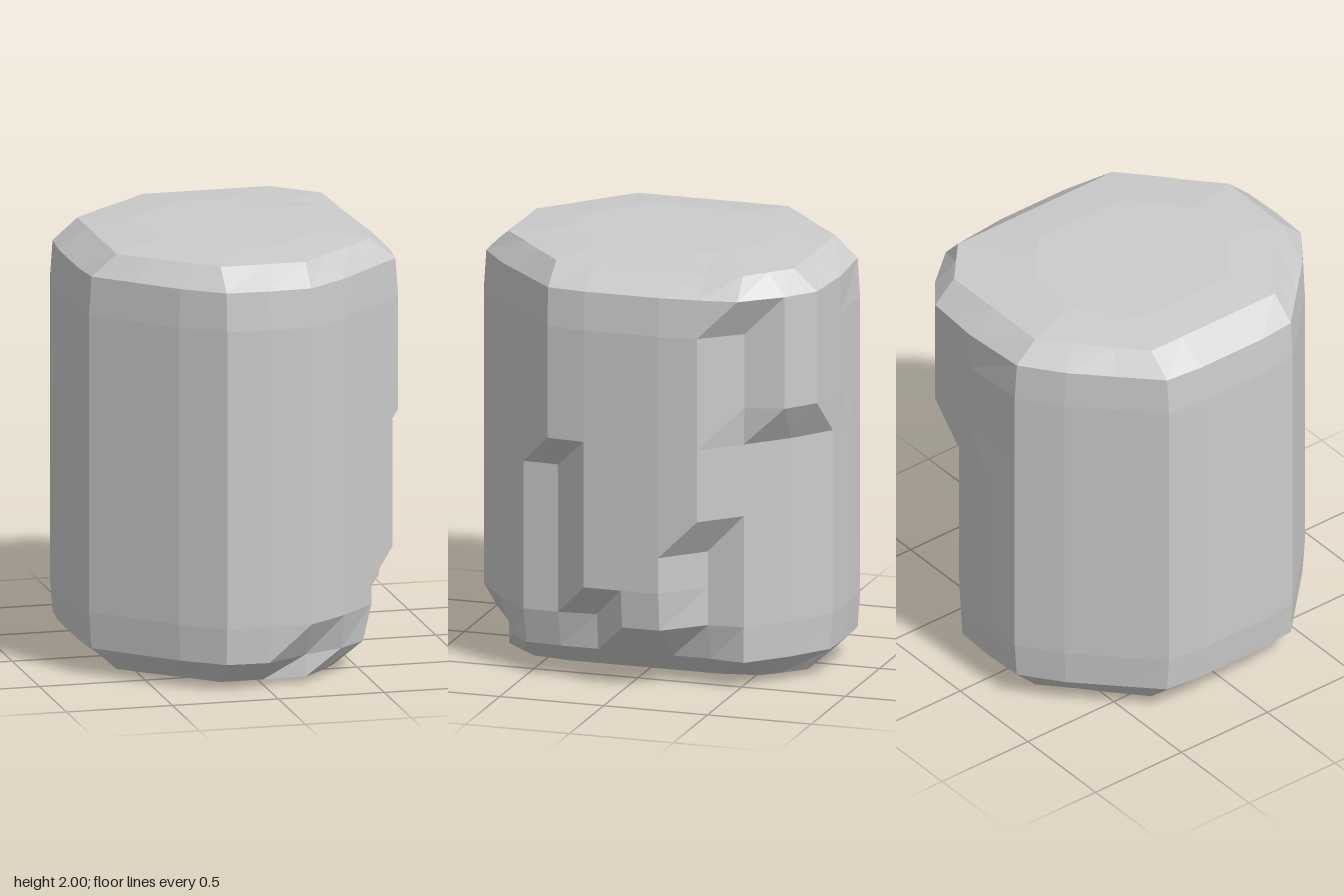
import * as THREE from 'three';

// Quarter outlines from the front (+z) round to the side (+x)
const OUTER = [[0, .85], [.2, .84], [.39, .7], [.56, .53], [.73, .36], [.75, .18], [.75, 0]];
const INNER = [[0, .72], [.2, .72], [.33, .6], [.47, .48], [.6, .36], [.6, .18], [.6, 0]];

// Mirror a quarter outline into a closed ring of 24 points
function fullRing(q) {
  const half = [...q, ...q.slice(0, 6).reverse().map(([x, z]) => [x, -z])];
  return [...half, ...half.slice(1, 12).reverse().map(([x, z]) => [-x, z])];
}

// Row heights with the blend from the outer (0) to the inner (1) outline
const ROWS = [[0, 1, .65], [.025, 1], [.13, .1], [.3, 0], [.48, 0], [.65, 0], [.83, 0], [1, 0],
  [1.17, 0], [1.35, 0], [1.53, 0], [1.7, 0], [1.88, .1], [1.98, 1], [2, 1, .65]];

function buildRings() {
  const outer = fullRing(OUTER), inner = fullRing(INNER);
  const rings = ROWS.map(([y, t, s = 1]) => outer.map(([x, z], i) => [
    (x + (inner[i][0] - x) * t) * s, y, (z + (inner[i][1] - z) * t) * s]));
  const put = (r0, r1, col, x, z) => {
    for (let r = r0; r <= r1; r++) { rings[r][col][0] = x; rings[r][col][2] = z; }
  };

  // Lower side undercut
  [.36, .18, 0, -.18, -.36].forEach((z, k) => {
    put(2, 2, 4 + k, .53, z);
    put(1, 1, 4 + k, .4, z);
    put(0, 0, 4 + k, .28, z * .65);
  });
  put(2, 2, 1, .2, .72);
  put(2, 2, 2, .39, .64);
  put(2, 2, 3, .52, .53);
  put(1, 1, 3, .37, .54);
  put(1, 1, 2, .3, .62);
  put(1, 1, 9, .37, -.54);
  put(1, 1, 10, .3, -.62);

  // Front side notch
  put(3, 7, 4, .57, .36);
  put(3, 3, 5, .55, .18);
  put(3, 3, 6, .73, 0);
  put(3, 3, 7, .73, -.18);

  // Back side notch
  put(3, 5, 8, .57, -.36);

  // Upper back corner bulge
  put(9, 11, 9, .58, -.54);
  put(9, 12, 10, .54, -.72);
  put(9, 12, 11, .4, -.83);
  put(9, 12, 12, .12, -.85);
  put(12, 12, 9, .69, -.54);
  put(13, 13, 9, .6, -.54);
  put(13, 13, 10, .5, -.63);
  put(13, 13, 11, .4, -.72);
  put(13, 13, 12, .1, -.72);
  return rings;
}

// Skin the rings and close both ends
function skin(rings) {
  const n = rings[0].length, last = rings.length - 1, index = [];
  const points = [...rings.flat(), [0, 0, 0], [0, 2, 0]];
  for (let j = 0; j < last; j++) {
    for (let i = 0; i < n; i++) {
      const k = (i + 1) % n;
      const a = j * n + i, b = j * n + k, c = a + n, d = b + n;
      index.push(a, b, d, a, d, c);
    }
  }
  const bottom = n * rings.length, top = bottom + 1;
  for (let i = 0; i < n; i++) {
    const k = (i + 1) % n;
    index.push(bottom, k, i, top, last * n + i, last * n + k);
  }
  const g = new THREE.BufferGeometry();
  g.setAttribute('position', new THREE.Float32BufferAttribute(points.flat(), 3));
  g.setIndex(index);
  const flat = g.toNonIndexed();
  flat.computeVertexNormals();
  return flat;
}

export function createModel() {
  const group = new THREE.Group();
  group.name = 'stonePillar';
  const material = new THREE.MeshStandardMaterial({ color: 0xcccccc, flatShading: true });
  const body = new THREE.Mesh(skin(buildRings()), material);
  body.name = 'pillarBody';
  group.add(body);
  return group;
}
